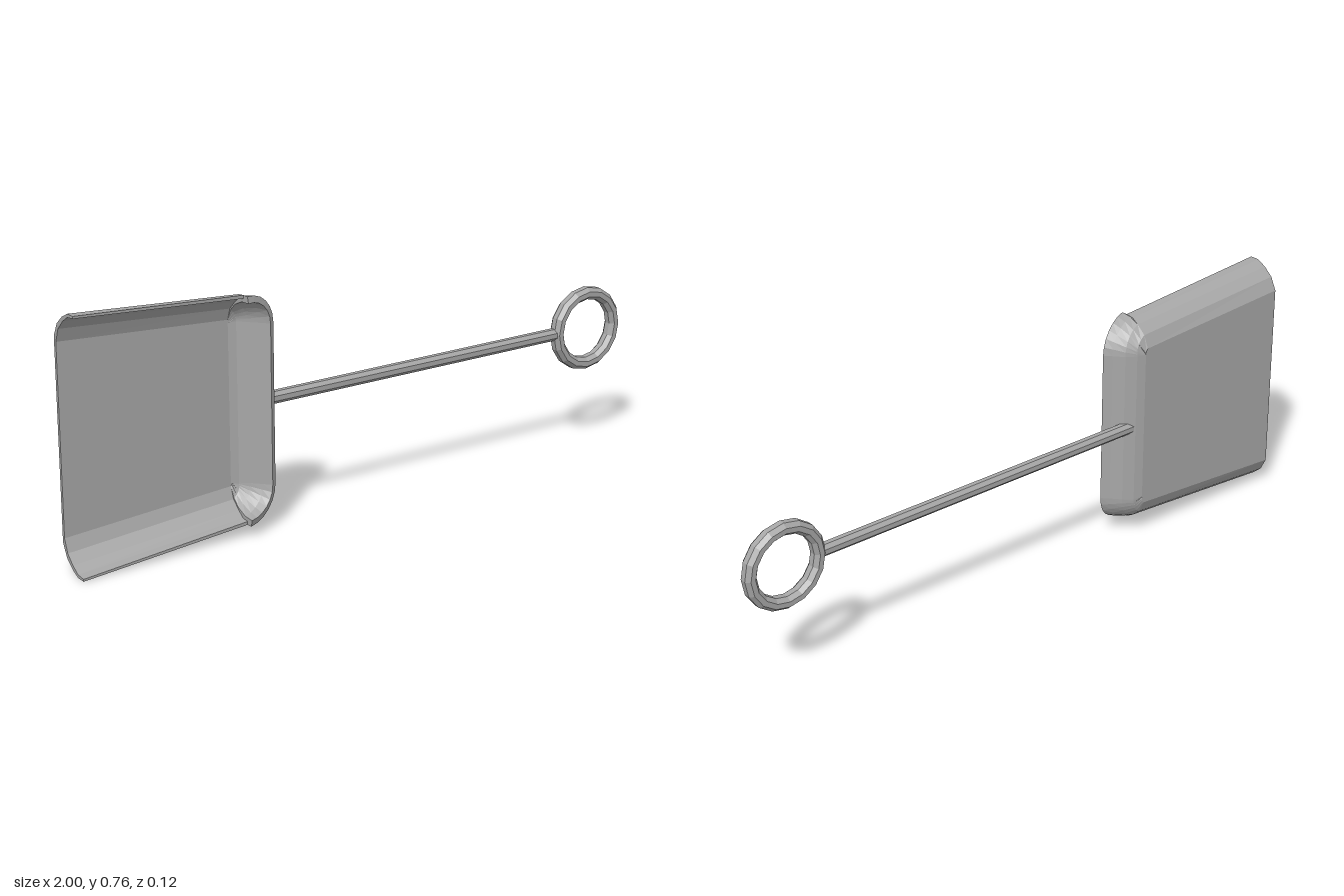
import * as THREE from 'three';

const HEIGHT = 0.757, MID = HEIGHT / 2;

// Wall profiles from floor to rim: [inset from the rim, z]
const mouth = {
  outer: [[0.08, -0.06], [0.04, -0.04], [0.015, -0.01], [0, 0.02], [0, 0.05]],
  inner: [[0.095, -0.05], [0.055, -0.035], [0.028, -0.008], [0.01, 0.02], [0.007, 0.05]],
};
const side = {
  outer: [[0.08, -0.06], [0.042, -0.043], [0.017, -0.013], [0.003, 0.01], [0, 0.036]],
  inner: [[0.092, -0.05], [0.056, -0.037], [0.03, -0.01], [0.013, 0.012], [0.01, 0.036]],
};
const corner = {
  outer: [[0.08, -0.06], [0.042, -0.043], [0.017, -0.013], [0.003, 0.02], [0, 0.055]],
  inner: [[0.092, -0.05], [0.06, -0.035], [0.037, -0.01], [0.022, 0.025], [0.02, 0.06]],
};
const end = {
  outer: [[0.108, -0.06], [0.075, -0.05], [0.045, -0.03], [0.02, 0], [0, 0.02]],
  inner: [[0.108, -0.05], [0.085, -0.042], [0.06, -0.02], [0.035, 0.008], [0.016, 0.03]],
};

const mix = (a, b, t) => a + (b - a) * t;
const mixProfile = (p, q, t) => p.map(([d, z], i) => [mix(d, q[i][0], t), mix(z, q[i][1], t)]);

// Places a profile at a rim point, facing outward along (nx, ny)
const place = (profile, x, y, nx, ny) => profile.map(([d, z]) => [x - nx * d, y - ny * d, z]);
const section = (outer, inner, x, y, nx, ny) => ({
  outer: place(outer, x, y, nx, ny), inner: place(inner, x, y, nx, ny),
});
const mirror = ([x, y, z]) => [x, 2 * MID - y, z];

function panGeometry() {
  const half = [
    section(mouth.outer, mouth.inner, -1, 0, 0, -1),
    section(side.outer, side.inner, -0.455, 0.036, 0, -1),
  ];
  // Rounded corner from the side wall to the flared end wall
  const steps = 6;
  for (let i = 0; i <= steps; i++) {
    const a = (i / steps) * Math.PI / 2, s = Math.sin(a), c = Math.cos(a);
    half.push(section(mixProfile(corner.outer, end.outer, s), mixProfile(corner.inner, end.inner, s),
      -0.455 + 0.108 * s, 0.136 - 0.1 * c, s, -c));
  }
  const flipped = half.map((s) => ({ outer: s.outer.map(mirror), inner: s.inner.map(mirror) }));
  const all = [...half, ...[...flipped].reverse()];

  const pos = [];
  const quad = (a, b, c, d) => pos.push(...a, ...b, ...c, ...a, ...c, ...d);

  // Wall: outside, rim, inside
  const loops = all.map((s) => [...s.outer, ...[...s.inner].reverse()]);
  for (let i = 0; i + 1 < loops.length; i++) {
    for (let j = 0; j + 1 < loops[i].length; j++) {
      quad(loops[i][j], loops[i + 1][j], loops[i + 1][j + 1], loops[i][j + 1]);
    }
  }
  // Floor strips between the two halves
  for (let i = 0; i + 1 < half.length; i++) {
    const [a, b, c, d] = [half[i], flipped[i], flipped[i + 1], half[i + 1]];
    quad(a.outer[0], b.outer[0], c.outer[0], d.outer[0]);
    quad(a.inner[0], d.inner[0], c.inner[0], b.inner[0]);
  }
  // Thin front edge at the open mouth
  const [p, q] = [half[0], flipped[0]];
  for (let j = 0; j < 4; j++) {
    quad(p.outer[j], p.outer[j + 1], p.inner[j + 1], p.inner[j]);
    quad(q.outer[j], q.inner[j], q.inner[j + 1], q.outer[j + 1]);
  }
  quad(p.outer[0], p.inner[0], q.inner[0], q.outer[0]);

  const geo = new THREE.BufferGeometry();
  geo.setAttribute('position', new THREE.Float32BufferAttribute(pos, 3));
  geo.computeVertexNormals();
  return geo;
}

export function createModel() {
  const model = new THREE.Group();
  model.name = 'shovel';
  const metal = new THREE.MeshStandardMaterial({ color: 0xa6a6a6, flatShading: true, side: THREE.DoubleSide });
  metal.name = 'grey metal';
  const add = (name, geo) => {
    const mesh = new THREE.Mesh(geo, metal);
    mesh.name = name;
    model.add(mesh);
    return mesh;
  };

  add('pan', panGeometry());

  // Octagonal handle, its inner end slanted to sit in the flared wall
  const start = -0.398, stop = 0.75;
  const rod = new THREE.CylinderGeometry(0.02, 0.02, stop - start, 8);
  rod.rotateY(Math.PI / 8).rotateZ(-Math.PI / 2).translate((start + stop) / 2, 0, 0);
  const v = rod.attributes.position;
  for (let i = 0; i < v.count; i++) {
    if (v.getX(i) < 0) v.setX(i, start + v.getZ(i) * 1.1);
  }
  add('handle', rod).position.set(0, MID, -0.029);

  // Ring grip with an eight-sided tube
  const section8 = [];
  for (let i = 0; i <= 8; i++) {
    const a = (i + 0.5) * Math.PI / 4;
    section8.push(new THREE.Vector2(0.115 + 0.0207 * Math.cos(a), 0.025 * Math.sin(a)));
  }
  const ring = new THREE.LatheGeometry(section8, 16).rotateX(Math.PI / 2);
  add('ringGrip', ring).position.set(0.866, MID, -0.028);

  return model;
}
